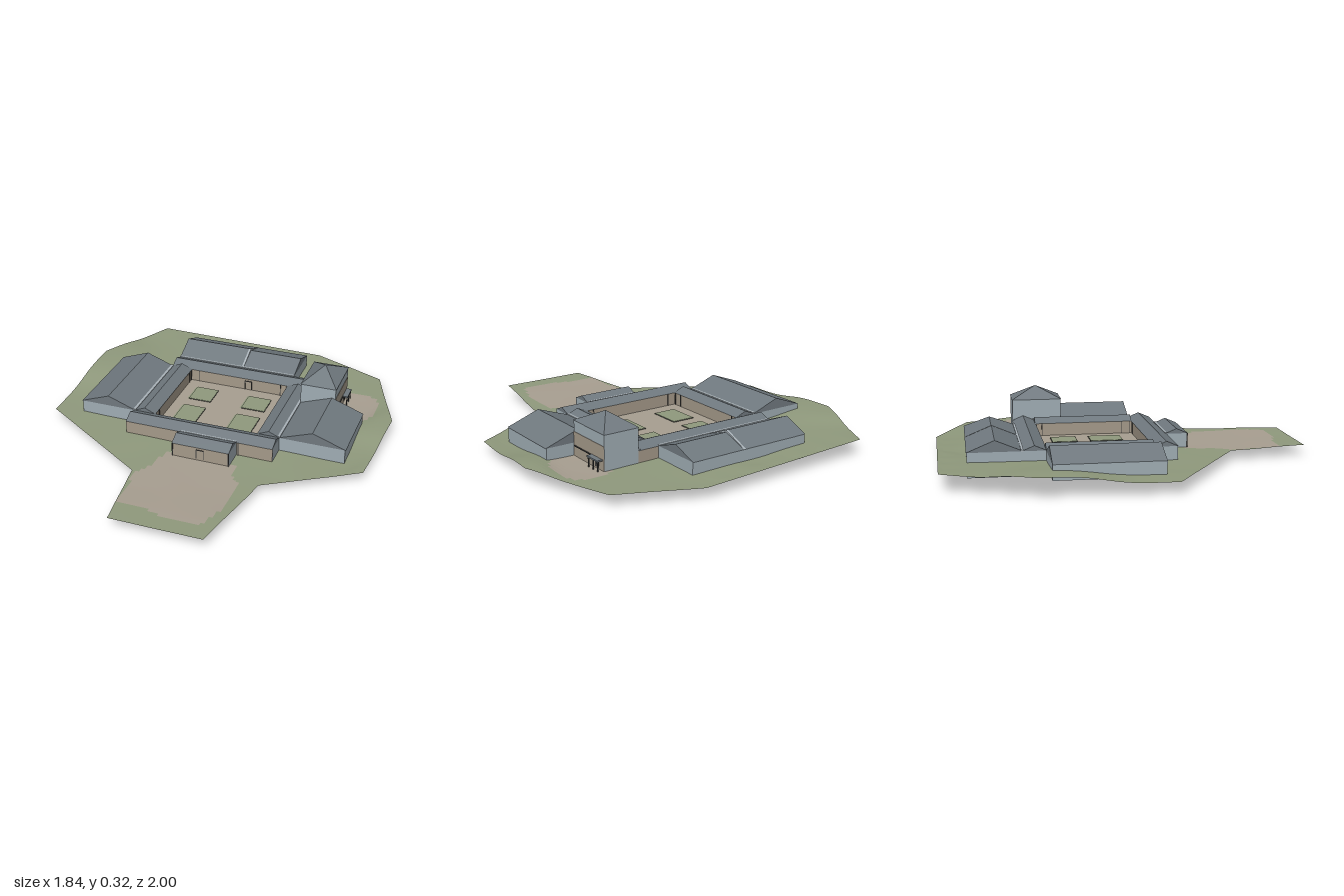
import * as THREE from 'three';

const mat = (name, color, side = THREE.FrontSide) => {
  const m = new THREE.MeshStandardMaterial({ color, side });
  m.name = name;
  return m;
};

export function createModel() {
  const slate = mat('slate', 0x70797f);
  const pale = mat('paleWall', 0xa0adb4);
  const tan = mat('tanWall', 0xa59a8a);
  const grass = mat('grass', 0x909a7d, THREE.DoubleSide);
  const path = mat('path', 0xa89f91, THREE.DoubleSide);
  const dark = mat('darkTimber', 0x3d3d3c);
  const ridge = mat('gutter', 0xa9b2b8);
  const model = new THREE.Group();
  model.name = 'courtyardCompound';

  const add = (name, geometry, material) => {
    const mesh = new THREE.Mesh(geometry, material);
    mesh.name = name;
    model.add(mesh);
    return mesh;
  };
  // Box given by its minimum and maximum corners
  const box = (name, x0, x1, y0, y1, z0, z1, material) => {
    const g = new THREE.BoxGeometry(x1 - x0, y1 - y0, z1 - z0);
    g.translate((x0 + x1) / 2, (y0 + y1) / 2, (z0 + z1) / 2);
    return add(name, g, material);
  };
  // Gabled roof prism with its ridge along x or z
  const gable = (name, x0, x1, z0, z1, eave, top, axis) => {
    const span = axis === 'x' ? z1 - z0 : x1 - x0;
    const length = axis === 'x' ? x1 - x0 : z1 - z0;
    const s = new THREE.Shape([
      new THREE.Vector2(-span / 2 - 0.004, 0), new THREE.Vector2(span / 2 + 0.004, 0), new THREE.Vector2(0, top - eave),
    ]);
    const g = new THREE.ExtrudeGeometry(s, { depth: length, bevelEnabled: false });
    g.translate(0, 0, -length / 2);
    if (axis === 'x') g.rotateY(Math.PI / 2);
    g.translate((x0 + x1) / 2, eave, (z0 + z1) / 2);
    add(name, g, slate);
  };

  // Buildings: footprint, ridge axis, floor, ridge height, tan sides
  const EAVE = 0.13;
  const blocks = [
    ['westWing', -0.76, -0.44, -0.44, 0.12, 'z', 0.05, 0.19, ''],
    ['eastWing', 0.40, 0.76, -0.28, 0.12, 'z', 0.045, 0.195, ''],
    ['backWingWest', -0.44, -0.04, -0.84, -0.56, 'x', 0, 0.19, ''],
    ['backWingEast', -0.04, 0.28, -0.84, -0.56, 'x', 0.054, 0.18, ''],
    ['backCorridor', -0.44, 0.40, -0.56, -0.44, 'x', 0, 0.157, 'nz'],
    ['frontCorridor', -0.44, 0.40, 0.12, 0.24, 'x', 0.05, 0.157, 'pz nz'],
    ['westCorridor', -0.44, -0.32, -0.44, 0.12, 'z', 0.052, 0.157, 'px'],
    ['eastCorridor', 0.28, 0.40, -0.44, 0.12, 'z', 0.052, 0.157, 'nx'],
    ['gatehouse', -0.12, 0.20, 0.24, 0.36, 'x', 0.046, 0.157, 'pz'],
  ];
  const tower = ['tower', 0.40, 0.60, -0.56, -0.28];
  const sides = ['px', 'nx', 'py', 'ny', 'pz', 'nz'];
  for (const [name, x0, x1, z0, z1, axis, floor, top, tanSides] of blocks) {
    const mats = sides.map(s => (tanSides.includes(s) ? tan : pale));
    box(name + 'Walls', x0, x1, floor, EAVE, z0, z1, mats);
    gable(name + 'Roof', x0, x1, z0, z1, EAVE, top, axis);
  }
  // Tan cladding on the back wall of the courtyard, above its pale basement
  box('courtBackWall', -0.32, 0.28, 0.058, EAVE, -0.441, -0.439, tan);

  // Pale gutters where neighbouring roofs meet, and the step in the back roof
  const gutters = [
    [-0.45, -0.435, -0.44, 0.12], [0.39, 0.403, -0.56, 0.12],
    [-0.44, 0.28, -0.568, -0.555], [-0.12, 0.20, 0.236, 0.247],
  ];
  for (const [x0, x1, z0, z1] of gutters) box('gutter', x0, x1, 0.126, 0.137, z0, z1, ridge);
  const step = new THREE.ExtrudeGeometry(new THREE.Shape([
    new THREE.Vector2(-0.144, 0), new THREE.Vector2(0.144, 0), new THREE.Vector2(0, 0.06),
  ]), { depth: 0.012, bevelEnabled: false });
  step.rotateY(Math.PI / 2).translate(-0.046, EAVE + 0.001, -0.70);
  add('roofStep', step, ridge);

  // Tower with its pyramid roof
  box('towerWalls', 0.40, 0.60, 0.054, 0.25, -0.56, -0.28, pale);
  box('towerLowerFace', 0.597, 0.602, 0.055, 0.19, -0.559, -0.281, tan);
  const pyramid = new THREE.ConeGeometry(Math.SQRT1_2, 0.07, 4, 1).toNonIndexed();
  pyramid.rotateY(Math.PI / 4).scale(0.206, 1, 0.286).translate(0.50, 0.285, -0.42);
  pyramid.computeVertexNormals();
  add('towerRoof', pyramid, slate);

  // Small side porch on the tower
  box('porchRoof', 0.60, 0.632, 0.113, 0.121, -0.545, -0.45, slate);
  for (const z of [-0.54, -0.50, -0.458]) box('porchPost', 0.624, 0.629, 0.062, 0.115, z - 0.003, z + 0.003, dark);
  box('porchRail', 0.602, 0.607, 0.115, 0.12, -0.45, -0.29, dark);
  box('porchDoor', 0.60, 0.604, 0.07, 0.11, -0.515, -0.48, dark);

  // Posts near the courtyard corners
  for (const z of [-0.43, -0.40, 0.06, 0.11])
    for (const px of [-0.317, 0.277]) box('courtPost', px - 0.002, px + 0.002, 0.061, EAVE, z - 0.002, z + 0.002, dark);
  for (const x of [-0.27, 0.235])
    for (const pz of [-0.436, 0.117]) box('courtPost', x - 0.002, x + 0.002, 0.061, EAVE, pz - 0.002, pz + 0.002, dark);

  // Door frames and corner posts of the entrance
  const frame = (name, x0, x1, z) => {
    for (const x of [x0, x1]) box(name, x - 0.002, x + 0.002, 0.061, 0.115, z - 0.002, z + 0.003, dark);
    box(name, x0, x1, 0.112, 0.116, z - 0.002, z + 0.003, dark);
  };
  frame('gateDoorFrame', 0.018, 0.058, 0.36);
  frame('courtDoorFrame', 0.018, 0.058, -0.438);
  for (const x of [-0.117, 0.197]) box('gatePost', x - 0.003, x + 0.003, 0.05, EAVE, 0.356, 0.364, dark);
  for (const x of [-0.135, 0.21]) box('wallPost', x - 0.003, x + 0.003, 0.05, EAVE, 0.238, 0.244, dark);

  // Four lawns in the courtyard, with a thin dark kerb
  const lawns = [];
  for (const [x0, x1] of [[-0.25, -0.12], [0.07, 0.205]])
    for (const [z0, z1] of [[-0.36, -0.22], [-0.145, 0.035]]) {
      lawns.push([x0, x1, z0, z1]);
      box('lawnKerb', x0 - 0.002, x1 + 0.002, 0.0605, 0.063, z0 - 0.002, z1 + 0.002, dark);
      box('lawn', x0, x1, 0.061, 0.065, z0, z1, grass);
    }

  // Ground: outline as left and right edges [z, x]
  const left = [[-1, 0.32], [-0.98, -0.70], [-0.52, -0.92], [0.155, -0.92], [0.57, -0.26], [1, -0.20]];
  const right = [[-1, 0.32], [-0.82, 0.74], [-0.34, 0.915], [0.18, 0.875], [0.47, 0.40], [1, 0.30]];
  const edge = (pts, z) => {
    const i = Math.max(1, pts.findIndex(p => p[0] >= z - 1e-9));
    const [a, c] = [pts[i - 1], pts[i]];
    return a[1] + (c[1] - a[1]) * (z - a[0]) / (c[0] - a[0]);
  };
  // Terrain heights [x, z, y], blended by distance, with a straight back edge
  const backEdge = x => 0.062 + 0.0255 * Math.max(0, 0.32 - x);
  const spots = [
    [0.74, -0.82, 0.064], [0.915, -0.34, 0.081], [0.875, 0.18, 0.055],
    [0.4, 0.47, 0.05], [0.3, 1, 0.06], [-0.2, 1, 0.06], [-0.26, 0.57, 0.055], [-0.92, 0.155, 0.062],
    [-0.92, -0.52, 0.106], [-0.5, 0.2, 0.058], [0.76, 0.12, 0.048], [0.68, -0.42, 0.062], [0.05, 0.36, 0.052],
    [-0.1, -0.86, 0.066],
  ];
  for (let x = -0.7; x < 0.33; x += 0.17) spots.push([x, -0.98, backEdge(x)]);
  const inside = (x, z, [x0, x1, z0, z1]) => x > x0 - 1e-6 && x < x1 + 1e-6 && z > z0 - 1e-6 && z < z1 + 1e-6;
  const court = [-0.32, 0.28, -0.44, 0.12];
  const height = (x, z) => {
    if (inside(x, z, court)) return 0.06;
    if (z < -0.975) return backEdge(x);
    let sum = 0, total = 0;
    for (const [sx, sz, sy] of spots) {
      const w = 1 / (((x - sx) ** 2 + (z - sz) ** 2) ** 1.6 + 1e-4);
      sum += w * sy;
      total += w;
    }
    return sum / total;
  };
  // Worn paths
  const paths = [
    [[-0.16, 0.34], [0.23, 0.34], [0.24, 0.44], [0.31, 0.5], [0.30, 0.74], [0.25, 0.89], [0.08, 0.91],
      [-0.08, 0.86], [-0.21, 0.87], [-0.21, 0.72], [-0.25, 0.6], [-0.19, 0.5]],
    [[0.56, -0.58], [0.68, -0.61], [0.78, -0.58], [0.81, -0.46], [0.78, -0.32], [0.70, -0.27], [0.58, -0.27]],
  ];
  const inPoly = (x, z, poly) => poly.reduce((hit, [ax, az], i) => {
    const [bx, bz] = poly[(i + 1) % poly.length];
    return (az > z) !== (bz > z) && x < ax + (bx - ax) * (z - az) / (bz - az) ? !hit : hit;
  }, false);
  const isPath = (x, z) => (inside(x, z, court) ? !lawns.some(l => inside(x, z, l)) : paths.some(p => inPoly(x, z, p)));

  const rows = [0.155, 0.57, 0.47];
  for (let i = -50; i <= 50; i++) rows.push(i / 50);
  rows.sort((a, c) => a - c);
  const feet = [...blocks, tower].map(f => f.slice(1, 5));
  const out = { grass: [], path: [] };
  for (let r = 0; r + 1 < rows.length; r++) {
    const z0 = rows[r], z1 = rows[r + 1];
    const at = (i, z) => {
      const x = Math.min(Math.max(i / 50, edge(left, z)), edge(right, z));
      return [x, height(x, z), z];
    };
    for (let i = -47; i < 47; i++) {
      const cx = (i + 0.5) / 50, cz = (z0 + z1) / 2;
      if (feet.some(f => inside(cx, cz, f))) continue;
      const a = at(i, z0), c = at(i + 1, z0), d = at(i, z1), e = at(i + 1, z1);
      if (c[0] - a[0] + e[0] - d[0] < 1e-6) continue;
      const list = isPath(cx, cz) ? out.path : out.grass;
      if (d[0] !== e[0]) list.push(...a, ...d, ...e);
      if (a[0] !== c[0]) list.push(...a, ...e, ...c);
    }
  }
  for (const [name, m] of [['grass', grass], ['path', path]]) {
    const g = new THREE.BufferGeometry();
    g.setAttribute('position', new THREE.Float32BufferAttribute(out[name], 3));
    g.computeVertexNormals();
    add(name + 'Ground', g, m);
  }
  return model;
}
